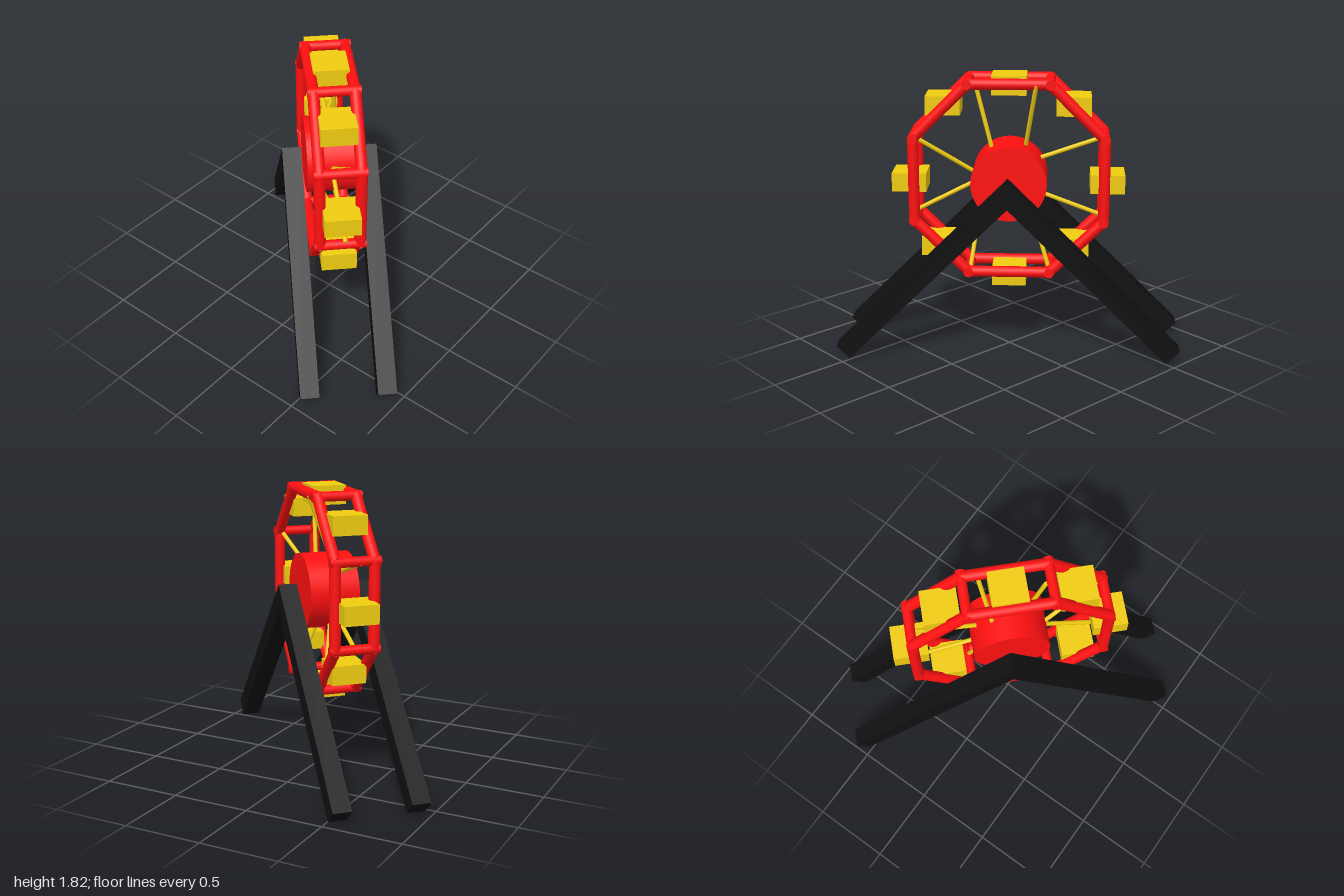
import * as THREE from 'three';

const red = new THREE.MeshStandardMaterial({ color: 0xff1010 });
const yellow = new THREE.MeshStandardMaterial({ color: 0xf0cc10 });
const black = new THREE.MeshStandardMaterial({ color: 0x101010 });

// Round bar between two points
function bar(name, a, b, radius, material, sides = 20) {
  const from = new THREE.Vector3(...a);
  const dir = new THREE.Vector3(...b).sub(from);
  const mesh = new THREE.Mesh(new THREE.CylinderGeometry(radius, radius, dir.length(), sides), material);
  mesh.position.copy(from).addScaledVector(dir, 0.5);
  mesh.quaternion.setFromUnitVectors(new THREE.Vector3(0, 1, 0), dir.normalize());
  mesh.name = name;
  return mesh;
}

// A-shaped stand of two square beams meeting at 45 degrees
function makeStand(name, x, z) {
  const shape = new THREE.Shape([
    [0, 1.187], [-1.102, 0.085], [-1.017, 0], [0, 1.017], [1.017, 0], [1.102, 0.085],
  ].map(([px, py]) => new THREE.Vector2(px, py)));
  const depth = 0.118;
  const geometry = new THREE.ExtrudeGeometry(shape, { depth, bevelEnabled: false });
  const mesh = new THREE.Mesh(geometry.translate(0, 0, -depth / 2), black);
  mesh.position.set(x, 0, z);
  mesh.name = name;
  return mesh;
}

export function createModel() {
  const model = new THREE.Group();
  model.name = 'ferrisWheel';

  // Stands on both sides of the wheel
  model.add(makeStand('frontStand', -0.015, 0.239), makeStand('backStand', 0.004, -0.24));

  // Hub drum
  model.add(bar('hub', [0, 1.14, -0.16], [0, 1.14, 0.16], 0.24, red, 40));

  // Two octagonal rims joined by crossbars at the corners
  const wheel = new THREE.Group();
  wheel.name = 'wheelRims';
  const corners = [
    [0.6, 0.268], [0.258, 0.61], [-0.258, 0.61], [-0.6, 0.268],
    [-0.6, -0.268], [-0.258, -0.61], [0.258, -0.61], [0.6, -0.268],
  ].map(([x, y]) => [x, y + 1.16]);
  corners.forEach((corner, i) => {
    const next = corners[(i + 1) % 8];
    for (const z of [-0.123, 0.123]) {
      wheel.add(bar('rimBar', [...corner, z], [...next, z], 0.035, red));
    }
    wheel.add(bar('crossbar', [...corner, -0.158], [...corner, 0.158], 0.031, red));
  });
  model.add(wheel);

  // Thin spokes, some leaning toward the back rim
  const spokes = new THREE.Group();
  spokes.name = 'spokes';
  const spokeEnds = [
    [[0.18, 1.15, 0.02], [0.6, 1.44, -0.12]],
    [[0.11, 1.34, -0.02], [0.22, 1.77, 0]],
    [[-0.1, 1.34, 0.02], [-0.17, 1.77, -0.15]],
    [[-0.2, 1.28, 0], [-0.62, 1.42, 0.03]],
    [[-0.2, 1.05, 0], [-0.6, 0.9, 0]],
    [[-0.13, 0.97, 0], [-0.26, 0.55, -0.08]],
    [[0.18, 1.02, 0.08], [0.25, 0.55, -0.12]],
    [[0.2, 1.13, 0], [0.62, 0.92, -0.03]],
  ];
  for (const [a, b] of spokeEnds) spokes.add(bar('spoke', a, b, 0.014, yellow, 12));
  model.add(spokes);

  // Upright box cabins around the wheel
  const cabins = new THREE.Group();
  cabins.name = 'cabins';
  const cabinGeometry = new THREE.BoxGeometry(0.218, 0.12, 0.218);
  const places = [
    [0.632, 1.133], [0.413, 1.628], [0, 1.757], [-0.403, 1.628],
    [-0.622, 1.133], [-0.4, 0.71], [0, 0.51], [0.45, 0.71],
  ];
  for (const [x, y] of places) {
    const cabin = new THREE.Mesh(cabinGeometry, yellow);
    cabin.position.set(x, y, 0);
    cabin.name = 'cabin';
    cabins.add(cabin);
  }
  model.add(cabins);

  // The wheel stands diagonally
  model.rotation.y = -Math.PI / 4;
  const root = new THREE.Group();
  root.name = 'model';
  root.add(model);
  return root;
}
